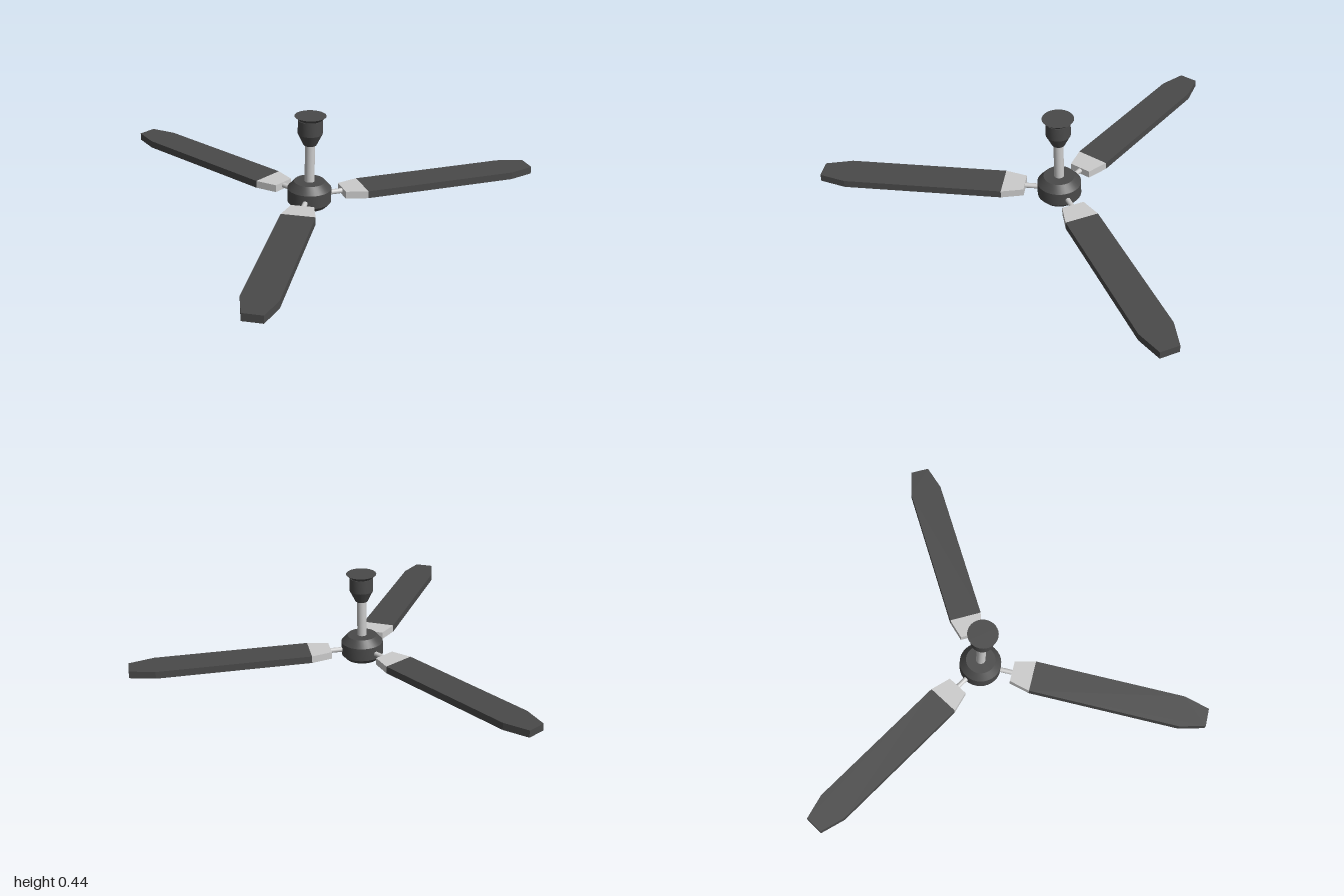
import * as THREE from 'three';
import { toCreasedNormals } from 'three/addons/utils/BufferGeometryUtils.js';

const grey = new THREE.MeshStandardMaterial({ color: 0xcccccc });
const dark = new THREE.MeshStandardMaterial({ color: 0x4a4a4a });

function addMesh(parent, name, geometry, material) {
  const mesh = new THREE.Mesh(geometry, material);
  mesh.name = name;
  parent.add(mesh);
  return mesh;
}

// Turned part from [radius, height] pairs, bottom to top
function turned(profile) {
  const points = profile.map(([r, y]) => new THREE.Vector2(r, y));
  return toCreasedNormals(new THREE.LatheGeometry(points, 32), 0.4);
}

// Flat plate, symmetric about its length, from [half width, distance] pairs
function plate(outline, thickness) {
  const right = outline.map(([w, d]) => new THREE.Vector2(w, d));
  const left = outline.map(([w, d]) => new THREE.Vector2(-w, d)).reverse();
  const geometry = new THREE.ExtrudeGeometry(new THREE.Shape([...right, ...left]), {
    depth: thickness, bevelEnabled: false,
  });
  return geometry.rotateX(-Math.PI / 2);
}

export function createModel() {
  const fan = new THREE.Group();
  fan.name = 'ceilingFan';

  const body = new THREE.Group();
  body.name = 'fanBody';
  body.position.z = 0.263;
  fan.add(body);

  // Motor housing with chamfered rims
  addMesh(body, 'motorHousing', turned([
    [0, 0], [0.082, 0], [0.102, 0.022], [0.102, 0.086], [0.072, 0.12], [0, 0.12],
  ]), dark);

  // Hanging rod
  const rod = addMesh(body, 'downRod', new THREE.CylinderGeometry(0.023, 0.023, 0.2, 24), grey);
  rod.position.y = 0.21;

  // Ceiling cup with flared lip
  addMesh(body, 'ceilingCup', turned([
    [0, 0.3], [0.03, 0.3], [0.057, 0.355], [0.057, 0.422], [0.053, 0.422], [0.073, 0.44], [0, 0.44],
  ]), dark);

  // Three arms, each with a stub, a bracket and a blade
  for (let i = 0; i < 3; i++) {
    const arm = new THREE.Group();
    arm.name = 'bladeArm' + (i + 1);
    arm.rotation.y = (i * Math.PI * 2) / 3;
    body.add(arm);

    const stub = addMesh(arm, 'armStub', new THREE.CylinderGeometry(0.012, 0.012, 0.09, 16), grey);
    stub.rotation.x = Math.PI / 2;
    stub.position.set(0, 0.049, -0.125);

    const bracket = addMesh(arm, 'bladeBracket', plate([[0.053, 0.161], [0.079, 0.263]], 0.035), grey);
    bracket.position.y = 0.03;

    const blade = addMesh(arm, 'blade', plate([[0.079, 0.263], [0.079, 1.006], [0.045, 1.129]], 0.035), dark);
    blade.position.y = 0.03;
  }
  return fan;
}
